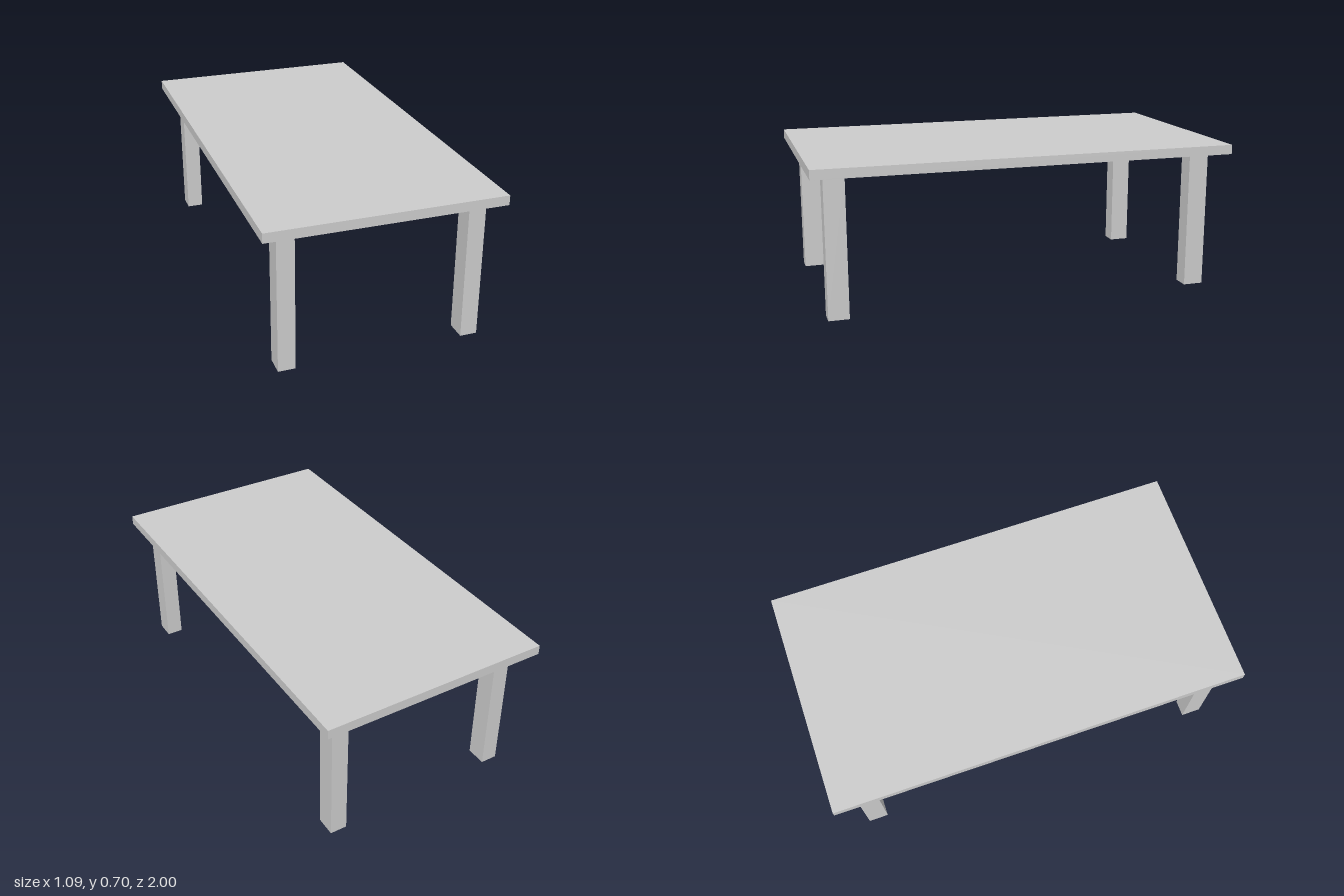
import * as THREE from 'three';

const LEG_HEIGHT = 0.66;
const TOP_THICKNESS = 0.045;

export function createModel() {
  const table = new THREE.Group();
  table.name = 'table';
  const material = new THREE.MeshStandardMaterial({ color: 0xcccccc });

  // Box placed by the centre of its base
  function addBox(name, width, height, depth, x, y, z) {
    const mesh = new THREE.Mesh(new THREE.BoxGeometry(width, height, depth), material);
    mesh.name = name;
    mesh.position.set(x, y + height / 2, z);
    table.add(mesh);
  }

  // Flat slab top
  addBox('tableTop', 1.092, TOP_THICKNESS, 2, 0, LEG_HEIGHT, 0);

  // Four legs; the two back legs are slightly staggered in depth
  const legs = [
    ['frontLeftLeg', 0.432, 0.889],
    ['frontRightLeg', -0.432, 0.889],
    ['backLeftLeg', 0.432, -0.866],
    ['backRightLeg', -0.432, -0.851],
  ];
  for (const [name, x, z] of legs) addBox(name, 0.08, LEG_HEIGHT, 0.096, x, 0, z);

  return table;
}
